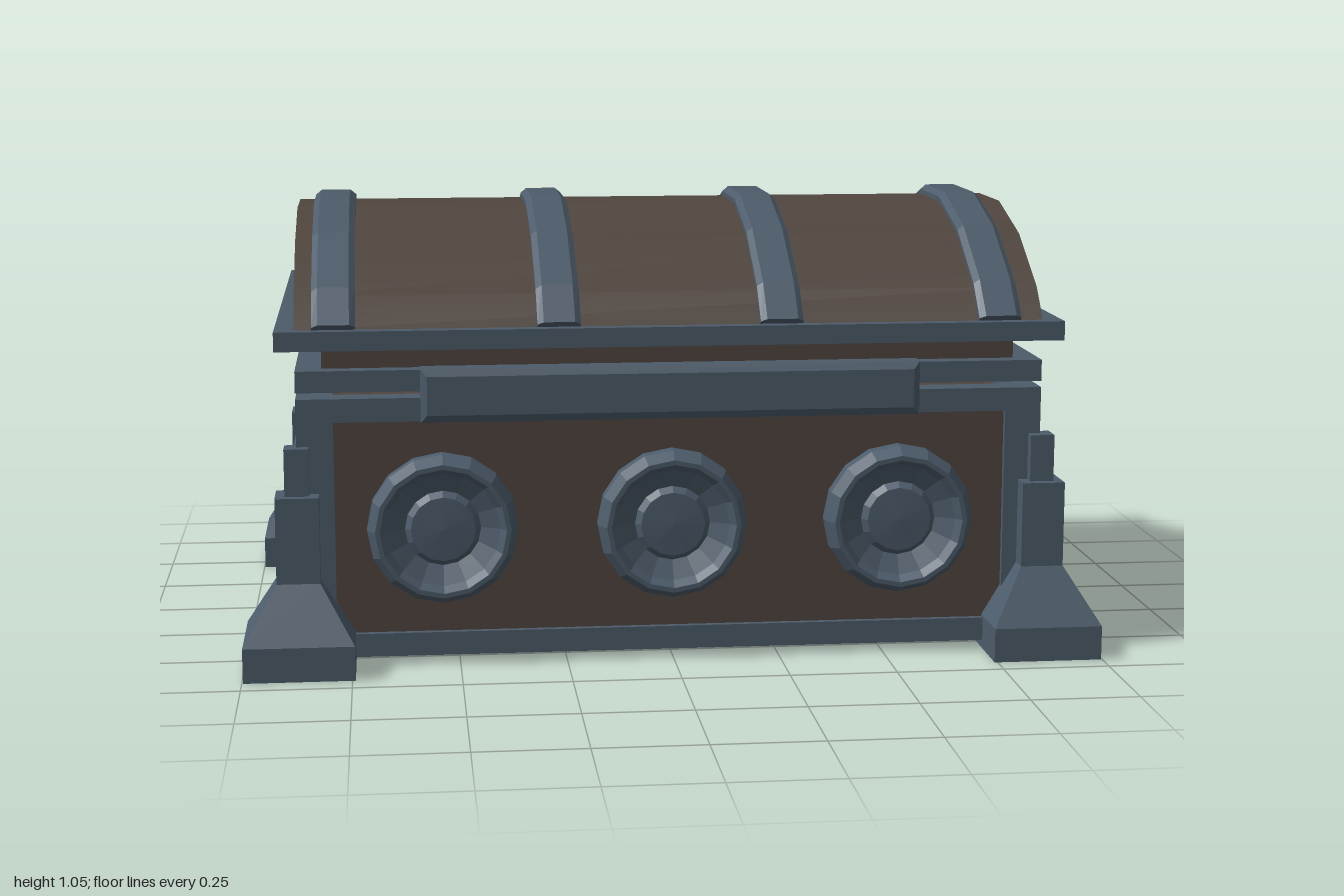
import * as THREE from 'three';
import { toCreasedNormals } from 'three/addons/utils/BufferGeometryUtils.js';

const metal = new THREE.MeshStandardMaterial({ color: 0x4d5c6b, flatShading: true });
const wood = new THREE.MeshStandardMaterial({ color: 0x51463f });

// Half of the lid arch as [z, y]: wood surface and outer face of the straps
const archInner = [[0.565, 0.79], [0.5, 0.86], [0.32, 0.967], [0.11, 1.027]];
const archOuter = [[0.582, 0.803], [0.507, 0.88], [0.325, 0.988], [0.113, 1.05]];
const mirrorArch = (half) => [...half, ...half.slice().reverse().map(([z, y]) => [-z, y])];

export function createModel() {
  const model = new THREE.Group();

  const add = (parent, name, geometry, material, x = 0, y = 0, z = 0) => {
    const mesh = new THREE.Mesh(geometry, material);
    mesh.name = name;
    mesh.position.set(x, y, z);
    parent.add(mesh);
    return mesh;
  };
  const group = (name) => {
    const g = new THREE.Group();
    g.name = name;
    model.add(g);
    return g;
  };
  // Box given by its height range
  const slab = (parent, name, w, y0, y1, d, material, x = 0, z = 0) =>
    add(parent, name, new THREE.BoxGeometry(w, y1 - y0, d), material, x, (y0 + y1) / 2, z);

  // Box standing on y = 0 whose top is w1 x d1
  const taper = (w0, d0, w1, d1, h) => {
    const g = new THREE.BoxGeometry(w0, h, d0).translate(0, h / 2, 0);
    const p = g.attributes.position;
    for (let i = 0; i < p.count; i++) {
      if (p.getY(i) > h / 2) p.setXYZ(i, p.getX(i) * w1 / w0, h, p.getZ(i) * d1 / d0);
    }
    g.computeVertexNormals();
    return g;
  };

  // Chest body and its edge frame
  const body = group('body');
  slab(body, 'bodyBox', 1.71, 0.018, 0.62, 1.1, wood);
  for (const s of [-1, 1]) {
    for (const [y0, y1] of [[0.02, 0.075], [0.575, 0.63]]) {
      slab(body, 'longFrameRail', 1.74, y0, y1, 0.06, metal, 0, s * 0.535);
      slab(body, 'sideFrameRail', 0.085, y0, y1, 1.01, metal, s * 0.8275);
    }
    for (const t of [-1, 1]) slab(body, 'framePost', 0.085, 0.075, 0.575, 0.06, metal, s * 0.8275, t * 0.535);

    // Raised bevelled panel on each end
    const panel = taper(0.41, 0.92, 0.35, 0.86, 0.03).rotateZ(-Math.PI / 2);
    add(body, 'endPanel', panel, metal, s * 0.85, 0.325, 0).rotation.y = s > 0 ? 0 : Math.PI;
  }

  // Corner legs
  for (const sx of [-1, 1]) for (const sz of [-1, 1]) {
    const leg = group('cornerLeg');
    leg.position.set(sx * 0.87, 0, sz * 0.565);
    slab(leg, 'foot', 0.255, 0, 0.08, 0.255, metal);
    add(leg, 'footSlope', taper(0.255, 0.255, 0.1, 0.1, 0.13), metal, 0, 0.08, 0);
    slab(leg, 'legPost', 0.1, 0.21, 0.41, 0.1, metal);
    slab(leg, 'legTip', 0.056, 0.41, 0.52, 0.056, metal);
  }

  // Round medallions on the front: rim, bowl and central boss
  const profile = [[0.175, 0], [0.175, 0.038], [0.157, 0.07], [0.146, 0.07], [0.132, 0.05],
    [0.088, 0.025], [0.075, 0.042], [0, 0.046]].map(([r, h]) => new THREE.Vector2(r, h));
  const medallion = new THREE.LatheGeometry(profile, 16).rotateX(Math.PI / 2);
  for (const x of [-0.537, -0.003, 0.531]) add(body, 'medallion', medallion, metal, x, 0.325, 0.547);

  // Lid layers
  const lid = group('lid');
  slab(lid, 'lowerRim', 1.74, 0.645, 0.695, 1.13, metal);
  slab(lid, 'lidNeck', 1.62, 0.695, 0.745, 1.05, wood);
  slab(lid, 'upperRim', 1.83, 0.745, 0.79, 1.19, metal);

  // Arched wooden vault
  const arch = mirrorArch(archInner);
  const archShape = new THREE.Shape(arch.map(([z, y]) => new THREE.Vector2(z, y)));
  const vault = new THREE.ExtrudeGeometry(archShape, { depth: 1.74, bevelEnabled: false })
    .translate(0, 0, -0.87).rotateY(Math.PI / 2);
  add(lid, 'vault', toCreasedNormals(vault, 0.6), wood);

  // Straps with chamfered edges, following the arch
  const strap = strapGeometry(arch, mirrorArch(archOuter));
  for (const x of [-0.78, -0.265, 0.252, 0.767]) add(lid, 'strap', strap, metal, x);

  // Bevelled clasp on the front, smaller hinge plate on the back
  slab(lid, 'claspBase', 1.16, 0.575, 0.7, 0.045, metal, -0.005, 0.5625);
  add(lid, 'claspFace', taper(1.16, 0.125, 1.13, 0.09, 0.01).rotateX(Math.PI / 2), metal, -0.005, 0.6375, 0.585);
  slab(lid, 'hingeBase', 0.6, 0.6, 0.675, 0.045, metal, 0, -0.5625);
  add(lid, 'hingeFace', taper(0.6, 0.075, 0.58, 0.055, 0.01).rotateX(-Math.PI / 2), metal, 0, 0.6375, -0.585);

  return model;
}

// Sweeps a chamfered section [x, thickness share] between the two arch lines
function strapGeometry(inner, outer) {
  const section = [[-0.05, 0], [-0.05, 0.5], [-0.036, 1], [0.036, 1], [0.05, 0.5], [0.05, 0]];
  const rings = inner.map(([z, y], i) => section.map(([x, t]) =>
    new THREE.Vector3(x, y + (outer[i][1] - y) * t, z + (outer[i][0] - z) * t)));
  const points = [];
  const n = section.length;
  for (let i = 0; i + 1 < rings.length; i++) {
    for (let j = 0; j < n; j++) {
      const k = (j + 1) % n;
      const [a, b, c, d] = [rings[i][j], rings[i][k], rings[i + 1][k], rings[i + 1][j]];
      points.push(a, b, c, a, c, d);
    }
  }
  // End caps
  const first = rings[0], last = rings[rings.length - 1];
  for (let j = 1; j + 1 < n; j++) {
    points.push(first[0], first[j + 1], first[j], last[0], last[j], last[j + 1]);
  }
  const g = new THREE.BufferGeometry().setFromPoints(points);
  g.computeVertexNormals();
  return g;
}
